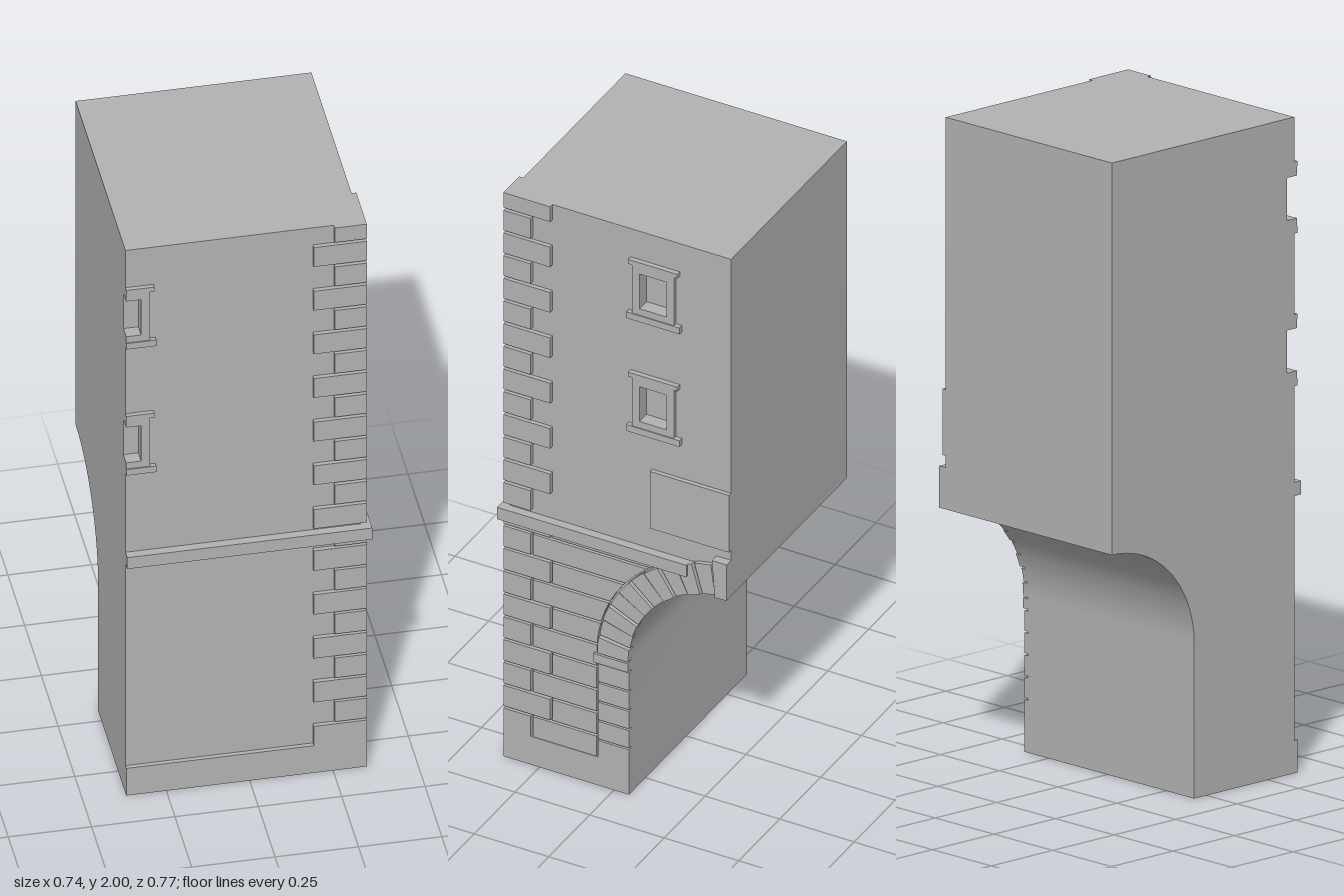
import * as THREE from 'three';
import { toCreasedNormals } from 'three/addons/utils/BufferGeometryUtils.js';

const LEFT = -0.37, RIGHT = 0.337, FRONT = 0.357, BACK = -0.385;
const RECESS = 0.03;                       // depth of the window openings
const SPRING = 0.47, R_IN = 0.335, R_OUT = 0.438;

export function createModel() {
  const group = new THREE.Group();
  const stone = new THREE.MeshStandardMaterial({ color: 0xb2b2b2 });
  stone.name = 'stone';

  const add = (name, geometry) => {
    const mesh = new THREE.Mesh(geometry, stone);
    mesh.name = name;
    group.add(mesh);
  };
  // Box given by its limits
  const block = (name, x0, x1, y0, y1, z0, z1) => {
    const g = new THREE.BoxGeometry(x1 - x0, y1 - y0, z1 - z0);
    g.translate((x0 + x1) / 2, (y0 + y1) / 2, (z0 + z1) / 2);
    add(name, g);
  };
  // Side profile (u = -z, v = y) extruded along x
  const sideExtrude = (name, shape, x0, x1) => {
    const g = new THREE.ExtrudeGeometry(shape, { depth: x1 - x0, bevelEnabled: false, curveSegments: 24 });
    g.rotateY(Math.PI / 2);
    g.translate(x0, 0, 0);
    add(name, toCreasedNormals(g, 0.4));
  };
  const polygon = (pts) => new THREE.Shape(pts.map(([x, y]) => new THREE.Vector2(x, y)));

  // Tower side profile with the half arch cut out of the back
  const towerProfile = (front) => {
    const s = new THREE.Shape();
    s.moveTo(-front, 0);
    s.lineTo(0.05, 0);
    s.lineTo(0.05, SPRING);
    s.absarc(-BACK, SPRING, R_IN, Math.PI, Math.PI / 2, true);
    s.lineTo(-BACK, 2);
    s.lineTo(-front, 2);
    s.closePath();
    return s;
  };
  const sideWindows = [1.29, 1.69], frontWindows = [1.18, 1.645];
  sideExtrude('towerCore', towerProfile(FRONT - RECESS), LEFT, RIGHT - RECESS);

  // Right wall with window openings
  const rightWall = towerProfile(FRONT - RECESS);
  for (const y of sideWindows) {
    rightWall.holes.push(polygon([[0.085, y + 0.045], [0.085, y + 0.168], [0.175, y + 0.168], [0.175, y + 0.045]]));
  }
  sideExtrude('rightWall', rightWall, RIGHT - RECESS, RIGHT);

  // Front wall with half openings at its left edge
  const frontPts = [[LEFT, 0], [RIGHT, 0], [RIGHT, 2], [LEFT, 2]];
  for (const y of [...frontWindows].reverse()) {
    frontPts.push([LEFT, y + 0.175], [-0.325, y + 0.175], [-0.325, y + 0.045], [LEFT, y + 0.045]);
  }
  const frontWall = new THREE.ExtrudeGeometry(polygon(frontPts), { depth: RECESS, bevelEnabled: false });
  frontWall.translate(0, 0, FRONT - RECESS);
  add('frontWall', frontWall);

  // Window surrounds on the right wall
  for (const y of sideWindows) {
    const x0 = RIGHT, x1 = 0.35;
    block('sideSill', x0, 0.353, y, y + 0.022, -0.22, -0.042);
    block('sideLintel', x0, 0.353, y + 0.195, y + 0.21, -0.213, -0.048);
    block('sideApron', x0, x1, y + 0.022, y + 0.045, -0.175, -0.085);
    block('sideHead', x0, x1, y + 0.168, y + 0.195, -0.175, -0.085);
    for (const z of [-0.2, -0.085]) block('sideJamb', x0, x1, y + 0.022, y + 0.195, z, z + 0.025);
  }
  // Half window surrounds on the front wall
  for (const y of frontWindows) {
    const z1 = 0.368;
    block('frontSill', LEFT, -0.28, y, y + 0.022, FRONT, 0.371);
    block('frontLintel', LEFT, -0.286, y + 0.202, y + 0.218, FRONT, 0.371);
    block('frontApron', LEFT, -0.325, y + 0.022, y + 0.045, FRONT, z1);
    block('frontHead', LEFT, -0.325, y + 0.175, y + 0.202, FRONT, z1);
    block('frontJamb', -0.325, -0.298, y + 0.022, y + 0.202, FRONT, z1);
  }

  // Plinth
  block('plinthFront', LEFT, 0.351, 0, 0.1, FRONT, 0.371);
  block('plinthSide', RIGHT, 0.351, 0, 0.1, -0.05, FRONT);

  // Corner stones, long and short in turn on the two faces
  const quoin = (j, y0, y1) => {
    const longFront = j % 2 === 0;
    block('quoinFront', longFront ? 0.192 : 0.255, 0.351, y0, y1, FRONT, 0.371);
    block('quoinSide', RIGHT, 0.351, y0, y1, longFront ? 0.28 : 0.214, FRONT);
  };
  for (let j = 0; j < 14; j++) {
    const y = 0.9 + 0.0805 * j;
    quoin(j, y, Math.min(y + 0.071, 2));
  }
  for (let j = 0; j < 10; j++) {
    const y = 0.098 + 0.0809 * j, top = Math.min(y + 0.073, 0.846);
    quoin(j, y, top);
    // Wall courses between corner stones and arch, cut to the curve
    const start = (j % 2 === 0 ? -0.28 : -0.214) + 0.007;
    const edge = (v) => -BACK - Math.sqrt((R_OUT + 0.006) ** 2 - Math.max(v - SPRING, 0) ** 2);
    const pts = [[start, y], [edge(y), y], [edge((y + top) / 2), (y + top) / 2], [edge(top), top], [start, top]];
    sideExtrude('wallCourse', polygon(pts), RIGHT, 0.349);
  }

  // String course
  block('stringCourseFront', LEFT, 0.365, 0.845, 0.887, FRONT, 0.384);
  block('stringCourseSide', RIGHT, 0.365, 0.845, 0.887, -0.25, FRONT);

  // Pier stones and impost under the arch
  for (let i = 0; i < 5; i++) {
    block('pierStone', RIGHT, 0.351, i ? 0.097 + 0.068 * i : 0.1, 0.159 + 0.068 * i, -0.05, 0.053);
  }
  block('impost', RIGHT, 0.358, 0.437, 0.468, -0.05, 0.066);

  // Arch stones
  const count = 10, span = THREE.MathUtils.degToRad(82.5), step = span / count;
  for (let i = 0; i < count; i++) {
    const a = Math.PI - i * step - 0.008, b = Math.PI - (i + 1) * step + 0.008;
    const s = new THREE.Shape();
    s.absarc(-BACK, SPRING, R_IN, a, b, true);
    s.absarc(-BACK, SPRING, R_OUT, b, a, false);
    s.closePath();
    sideExtrude('archStone', s, RIGHT, i % 2 ? 0.351 : 0.357);
  }
  sideExtrude('keystone', polygon([[0.345, 0.803], [0.385, 0.805], [0.385, 0.932], [0.336, 0.932]]), RIGHT, 0.365);

  // Plain tablet above the arch
  block('tablet', RIGHT, 0.351, 0.968, 1.17, BACK, -0.12);

  return group;
}
